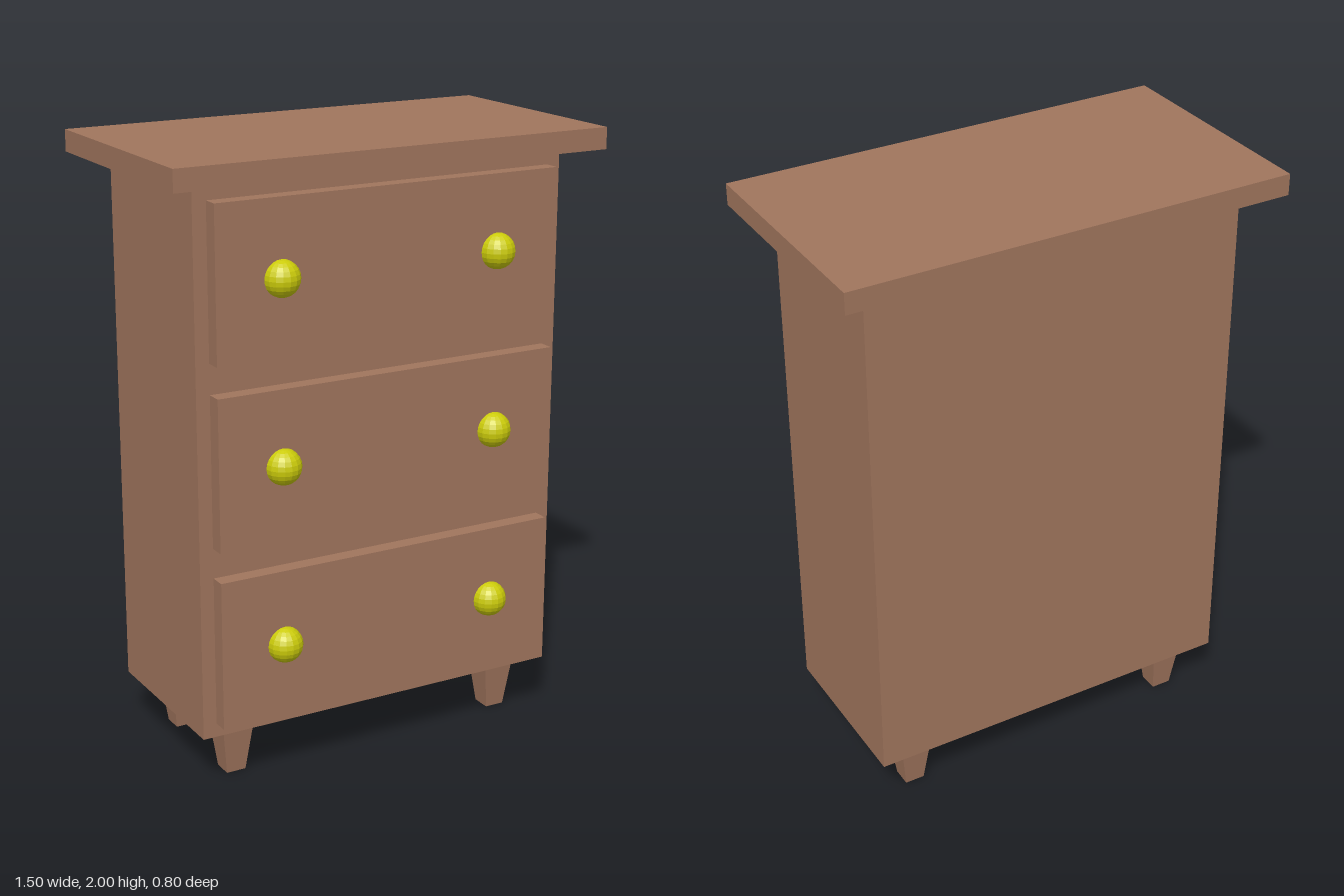
import * as THREE from 'three';

const wood = new THREE.MeshStandardMaterial({ color: 0xa0755d, flatShading: true });
const brass = new THREE.MeshStandardMaterial({ color: 0xcccc0a, flatShading: true });

export function createModel() {
  const group = new THREE.Group();
  const zMid = -0.003; // carcass centre, the knobs reach slightly past the top

  function add(name, geometry, material, x, y, z) {
    const mesh = new THREE.Mesh(geometry, material);
    mesh.name = name;
    mesh.position.set(x, y, z);
    group.add(mesh);
  }

  // Carcass and overhanging top
  add('body', new THREE.BoxGeometry(1.285, 1.755, 0.585), wood, 0, 1.0525, zMid);
  add('top', new THREE.BoxGeometry(1.495, 0.07, 0.794), wood, 0, 1.965, zMid);

  // Three drawers, each with two round knobs
  const drawerGeometry = new THREE.BoxGeometry(1.194, 0.488, 0.08);
  const knobGeometry = new THREE.SphereGeometry(0.058, 16, 12);
  for (let i = 0; i < 3; i++) {
    const y = 0.465 + i * 0.585;
    add('drawer', drawerGeometry, wood, 0, y, 0.302);
    for (const side of [-1, 1]) add('knob', knobGeometry, brass, side * 0.38, y, 0.342);
  }

  // Square tapered legs
  const legGeometry = new THREE.CylinderGeometry(0.055 * Math.SQRT2, 0.033 * Math.SQRT2, 0.175, 4);
  legGeometry.rotateY(Math.PI / 4);
  for (const x of [-0.497, 0.497]) {
    for (const z of [-0.19, 0.19]) add('leg', legGeometry, wood, x, 0.0875, z + zMid);
  }

  return group;
}
